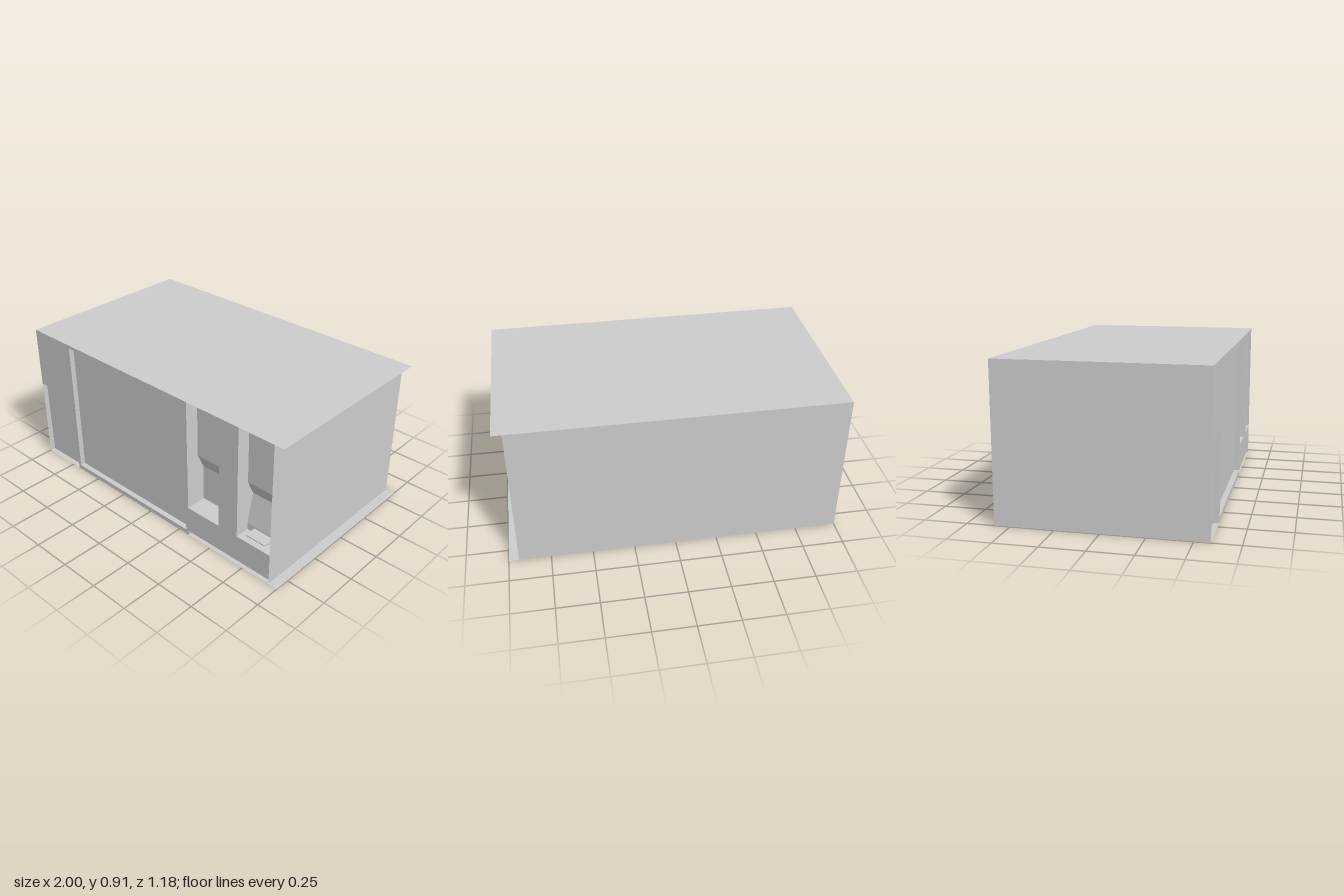
import * as THREE from 'three';

export function createModel() {
  const group = new THREE.Group();
  const grey = new THREE.MeshStandardMaterial({ color: 0xcccccc, side: THREE.DoubleSide });
  grey.name = 'plain grey';

  const H = 0.91, F = 0.59, L = -1, R = 0.94, reveal = 0.033;

  const add = (name, geometry) => {
    const mesh = new THREE.Mesh(geometry, grey);
    mesh.name = name;
    group.add(mesh);
    return mesh;
  };
  const shape = (pts) => new THREE.Shape(pts.map(([x, y]) => new THREE.Vector2(x, y)));

  // Upright sheet facing the front
  const panel = (name, x0, x1, y0, y1, z) =>
    add(name, new THREE.PlaneGeometry(x1 - x0, y1 - y0).translate((x0 + x1) / 2, (y0 + y1) / 2, z));

  // Flat (z, y) outline placed at a given x
  const sideWall = (name, pts, x) =>
    add(name, new THREE.ShapeGeometry(shape(pts)).rotateY(-Math.PI / 2).translate(x, 0, 0));

  // Folded sheet: a (z, y) line swept from x0 to x1, one flat strip per segment
  const foldedSheet = (name, pts, x0, x1) => {
    const pos = [];
    for (let i = 0; i < pts.length - 1; i++) {
      const [za, ya] = pts[i], [zb, yb] = pts[i + 1];
      pos.push(x0, ya, za, x1, yb, zb, x0, yb, zb, x0, ya, za, x1, ya, za, x1, yb, zb);
    }
    const g = new THREE.BufferGeometry();
    g.setAttribute('position', new THREE.Float32BufferAttribute(pos, 3));
    g.computeVertexNormals();
    return add(name, g);
  };

  // Roof and floor sheets, overhanging on the model's left
  add('roof', new THREE.PlaneGeometry(2, 2 * F).rotateX(-Math.PI / 2).translate(0, H, 0));
  add('floor', new THREE.PlaneGeometry(2, 2 * F).rotateX(Math.PI / 2));

  // Back and side walls
  add('backWall', new THREE.PlaneGeometry(R - L, H).rotateY(Math.PI).translate((L + R) / 2, H / 2, -F));
  add('leftWall', new THREE.PlaneGeometry(2 * F, H).rotateY(Math.PI / 2).translate(R, H / 2, 0));
  add('rightWall', new THREE.PlaneGeometry(2 * F, H).rotateY(-Math.PI / 2).translate(L, H / 2, 0));

  // Front slab with notches and the large opening
  const front = shape([
    [-0.69, 0], [0.33, 0], [0.33, 0.03], [R, 0.03], [R, 0.2], [0.705, 0.2], [0.705, H],
    [0.57, H], [0.57, 0.2], [0.33, 0.2], [0.33, H], [L, H], [L, 0.525], [-0.69, 0.525],
  ]);
  front.holes.push(shape([[-0.67, 0.03], [-0.67, 0.89], [0.31, 0.89], [0.31, 0.03]]));
  add('frontSlab', new THREE.ExtrudeGeometry(front, { depth: reveal, bevelEnabled: false })
    .translate(0, 0, F - reveal));

  // Panels set back behind the slab
  panel('largePanel', -0.67, 0.31, 0.03, 0.89, F - reveal);
  panel('lowerPanel', L, -0.69, 0, 0.525, F - reveal);
  panel('kickPanel', 0.33, R, 0, 0.03, F - reveal);

  // Two niches: shallow above, deeper below a sloped fold
  const upper = F - 0.085, deep = F - 0.13;
  const niche = [[upper, H], [upper, 0.525], [deep, 0.43], [deep, 0.2], [F, 0.2]];
  const cheek = [[F, H], ...niche];
  foldedSheet('plainNiche', niche, 0.33, 0.57);
  foldedSheet('consoleNiche', niche, 0.705, R);
  for (const x of [0.33, 0.57, 0.705]) sideWall('nicheCheek', cheek, x);

  // Leaning console with a small tray
  foldedSheet('console', [[deep, 0.43], [F - 0.09, 0.242], [F - 0.09, 0.2]], 0.705, R);
  const tray = shape([[F - 0.09, 0.207], [F - 0.02, 0.223], [F - 0.016, 0.232], [F - 0.09, 0.232]]);
  add('tray', new THREE.ExtrudeGeometry(tray, { depth: 0.135, bevelEnabled: false })
    .rotateY(-Math.PI / 2).translate(0.89, 0, 0));

  return group;
}
